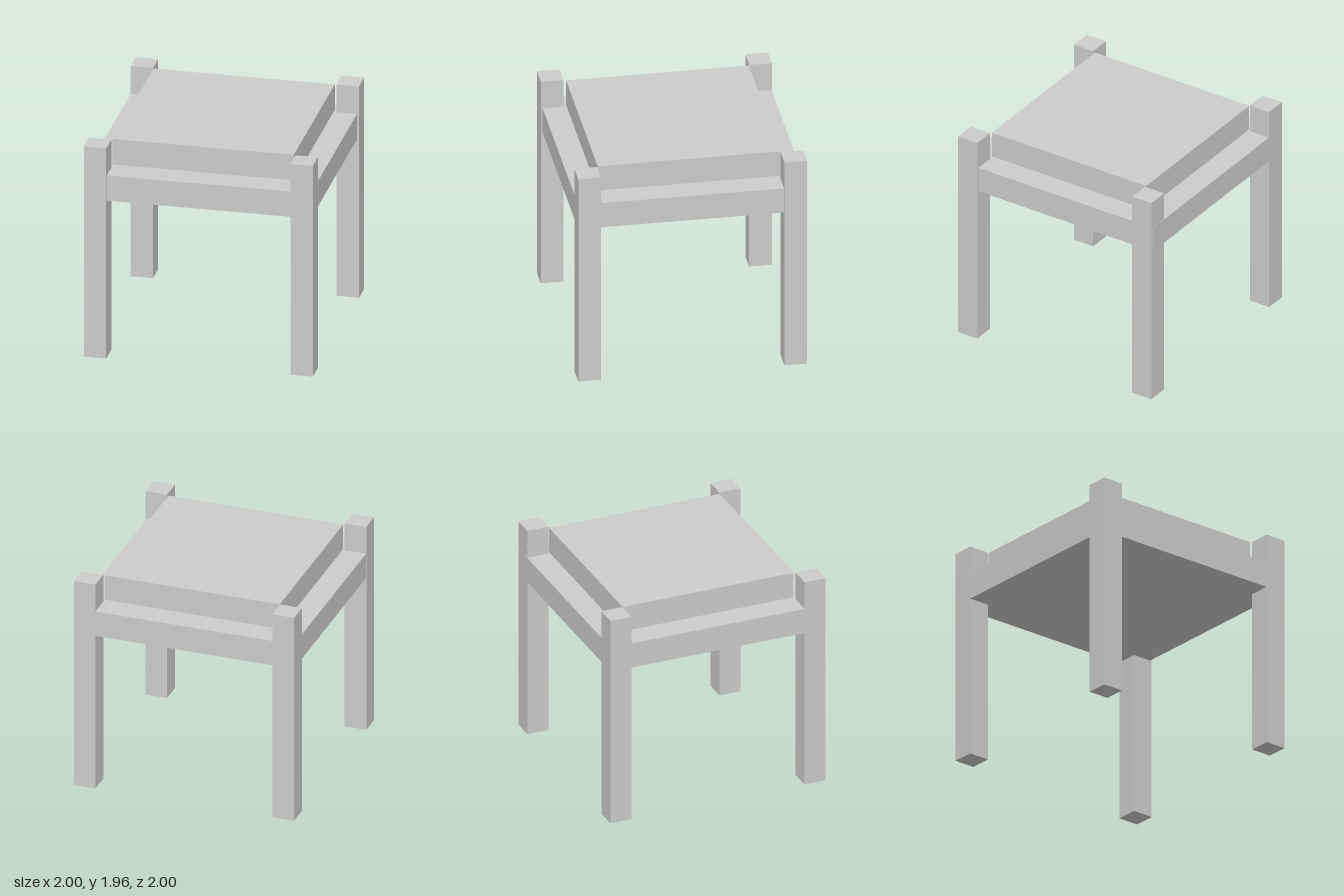
import * as THREE from 'three';

export function createModel() {
  const group = new THREE.Group();
  const material = new THREE.MeshStandardMaterial({ color: 0xcccccc, flatShading: true });

  // Box given by its lower and upper corners
  function addBox(name, [x0, y0, z0], [x1, y1, z1]) {
    const mesh = new THREE.Mesh(new THREE.BoxGeometry(x1 - x0, y1 - y0, z1 - z0), material);
    mesh.position.set((x0 + x1) / 2, (y0 + y1) / 2, (z0 + z1) / 2);
    mesh.name = name;
    group.add(mesh);
  }

  // Four square corner posts: centre x, centre z, bottom height
  const half = 0.098;
  const legs = [
    ['frontRightLeg', -0.902, 0.902, 0.01],
    ['frontLeftLeg', 0.902, 0.888, 0.005],
    ['backRightLeg', -0.902, -0.902, 0.01],
    ['backLeftLeg', 0.902, -0.897, 0],
  ];
  for (const [name, x, z, y] of legs) {
    addBox(name, [x - half, y, z - half], [x + half, 1.957, z + half]);
  }

  // Seat slab held between the posts
  addBox('seatSlab', [-0.998, 1.467, -0.998], [0.982, 1.7, 0.984]);

  // Cushion floating just above the slab
  addBox('cushion', [-0.798, 1.72, -0.8], [0.787, 1.955, 0.782]);

  return group;
}
